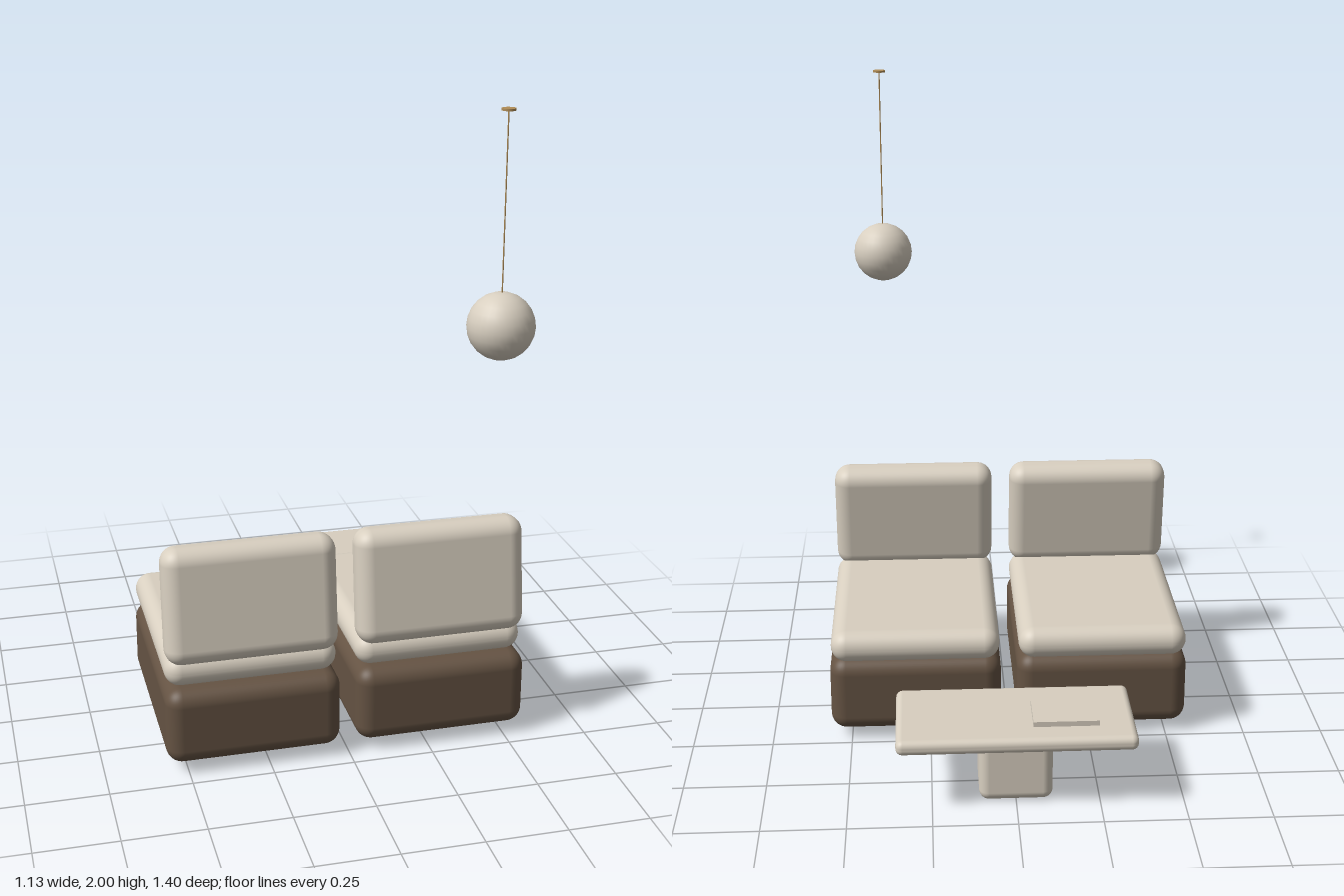
import * as THREE from 'three';
import { RoundedBoxGeometry } from 'three/addons/geometries/RoundedBoxGeometry.js';

export function createModel() {
  const model = new THREE.Group();
  model.name = 'loungeSet';

  const material = (name, color) => {
    const m = new THREE.MeshStandardMaterial({ color });
    m.name = name;
    return m;
  };
  const cream = material('cream', 0xd8cfc0);
  const brown = material('brown', 0x655343);
  const brass = material('brass', 0xb08d57);

  const add = (parent, name, geometry, mat, x, y, z) => {
    const mesh = new THREE.Mesh(geometry, mat);
    mesh.name = name;
    mesh.position.set(x, y, z);
    parent.add(mesh);
    return mesh;
  };
  const group = (name) => {
    const g = new THREE.Group();
    g.name = name;
    model.add(g);
    return g;
  };
  const rounded = (w, h, d, r) => new RoundedBoxGeometry(w, h, d, 5, r);

  // Two matching seat modules, each with plinth, cushion and leaning backrest
  for (const side of [-1, 1]) {
    const seat = group(side > 0 ? 'leftSeat' : 'rightSeat');
    const x = side * 0.295;
    add(seat, 'base', rounded(0.54, 0.245, 0.695, 0.05), brown, x, 0.153, 0.108);
    add(seat, 'seatCushion', rounded(0.53, 0.1, 0.675, 0.049), cream, x, 0.32, 0.083);
    const back = add(seat, 'backCushion', rounded(0.53, 0.362, 0.115, 0.05), cream, x, 0.53, 0.375);
    back.rotation.x = -0.125;
  }

  // Low table on a block pedestal, with a book
  const table = group('table');
  add(table, 'pedestal', rounded(0.22, 0.205, 0.195, 0.03), cream, 0, 0.1025, -0.53);
  add(table, 'tableTop', rounded(0.71, 0.046, 0.34, 0.02), cream, 0, 0.222, -0.53);
  add(table, 'book', new THREE.BoxGeometry(0.195, 0.016, 0.148), cream, -0.148, 0.253, -0.548);

  // Hanging globe lamp
  const lamp = group('pendantLamp');
  add(lamp, 'globe', new THREE.SphereGeometry(0.097, 32, 12), cream, 0.385, 1.393, 0.6);
  add(lamp, 'cord', new THREE.CylinderGeometry(0.002, 0.002, 0.51, 8), brass, 0.385, 1.742, 0.6);
  add(lamp, 'ceilingCap', new THREE.CylinderGeometry(0.02, 0.02, 0.006, 20), brass, 0.385, 1.997, 0.6);

  return model;
}
